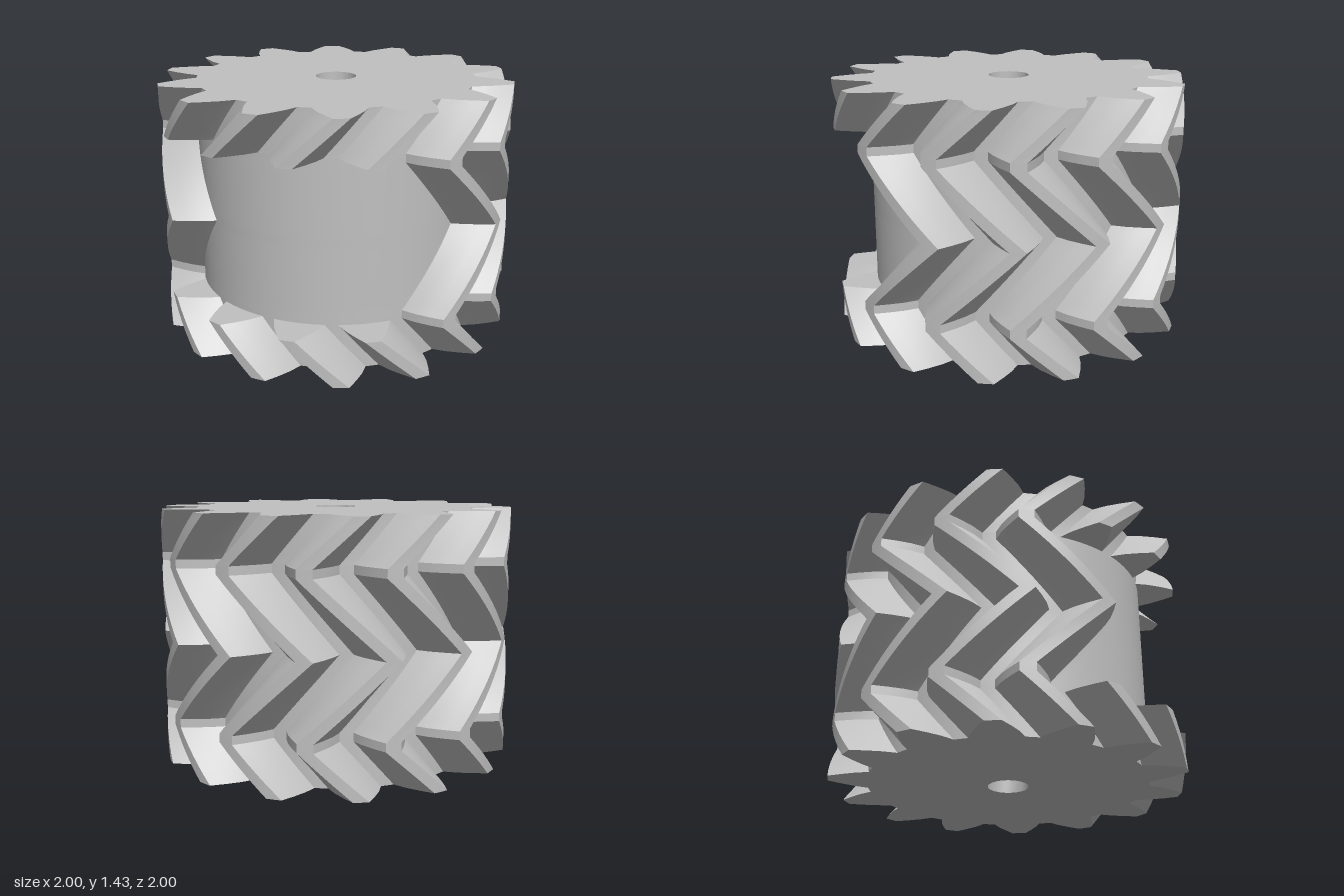
import * as THREE from 'three';
import { toCreasedNormals } from 'three/addons/utils/BufferGeometryUtils.js';

const DEG = Math.PI / 180;
const TEETH = 14, PITCH = 360 / TEETH, FIRST = 8;   // degrees from +x towards +z
const HEIGHT = 1.43, MID = HEIGHT / 2;
const ROOT = 0.79, HOLE = 0.115;
const OUTER_S = 0.46, INNER_S = 0.413;              // straight band, measured from mid height
// tooth flank: [radius, half angle in degrees]
const FLANK = [[ROOT, 10.2], [0.86, 7.8], [0.93, 5.05], [1, 2.4]];

// angular shift of the teeth at height y, making the zigzag
function twist(y) {
  const s = Math.abs(y - MID);
  if (s > OUTER_S) return -(s - OUTER_S) * 63.5;
  if (s < INNER_S) return -(INNER_S - s) * (PITCH / INNER_S);
  return 0;
}

// toothed outline with a bore; missing teeth leave a plain round sector
function gearShape(hasTooth) {
  const pts = [];
  const add = (r, deg) => pts.push(new THREE.Vector2(r * Math.cos(deg * DEG), r * Math.sin(deg * DEG)));
  const kept = [];
  for (let i = 0; i < TEETH; i++) if (hasTooth(i)) kept.push(FIRST + i * PITCH);
  kept.forEach((c, n) => {
    FLANK.forEach(([r, h]) => add(r, c - h));
    add(1, c);
    [...FLANK].reverse().forEach(([r, h]) => add(r, c + h));
    // root arc to the next tooth
    const start = c + FLANK[0][1];
    const end = (n + 1 < kept.length ? kept[n + 1] : kept[0] + 360) - FLANK[0][1];
    const steps = Math.ceil((end - start) / 3);
    for (let k = 1; k < steps; k++) add(ROOT, start + ((end - start) * k) / steps);
  });
  const shape = new THREE.Shape(pts);
  const hole = new THREE.Path();
  hole.absarc(0, 0, HOLE, 0, Math.PI * 2, true);
  shape.holes.push(hole);
  return shape;
}

// extrude the outline through a list of heights, turning each layer
function gearSection(name, hasTooth, levels, material) {
  const steps = levels.length - 1;
  const geo = new THREE.ExtrudeGeometry(gearShape(hasTooth), {
    depth: steps, steps, bevelEnabled: false, curveSegments: 20,
  });
  const p = geo.attributes.position;
  for (let i = 0; i < p.count; i++) {
    const y = levels[Math.round(p.getZ(i))];
    const r = Math.hypot(p.getX(i), p.getY(i));
    const a = Math.atan2(p.getY(i), p.getX(i)) + twist(y) * DEG;
    p.setXYZ(i, r * Math.cos(a), y, r * Math.sin(a));
  }
  // the axis swap mirrors the solid, so reverse each triangle
  for (let i = 0; i < p.count; i += 3) {
    const b = new THREE.Vector3().fromBufferAttribute(p, i + 1);
    const c = new THREE.Vector3().fromBufferAttribute(p, i + 2);
    p.setXYZ(i + 1, c.x, c.y, c.z);
    p.setXYZ(i + 2, b.x, b.y, b.z);
  }
  geo.clearGroups();
  geo.deleteAttribute('uv');
  const mesh = new THREE.Mesh(toCreasedNormals(geo, 22 * DEG), material);
  mesh.name = name;
  return mesh;
}

const range = (a, b, n) => Array.from({ length: n + 1 }, (_, i) => a + ((b - a) * i) / n);

export function createModel() {
  const group = new THREE.Group();
  group.name = 'herringboneGear';
  const steel = new THREE.MeshStandardMaterial({ color: 0xc0c0c0 });
  steel.name = 'grey steel';

  const all = () => true;
  const partial = (i) => i === 0 || i > 4;           // four teeth left out at the front
  const low = MID - OUTER_S, high = MID + OUTER_S;

  // full toothed rings at both ends
  group.add(gearSection('bottomRing', all, range(0, low, 6), steel));
  group.add(gearSection('topRing', all, range(high, HEIGHT, 6), steel));
  // middle band with zigzag teeth and a smooth front sector
  group.add(gearSection('middleBand', partial, [
    low, ...range(MID - INNER_S, MID, 9), ...range(MID, MID + INNER_S, 9).slice(1), high,
  ], steel));
  return group;
}
